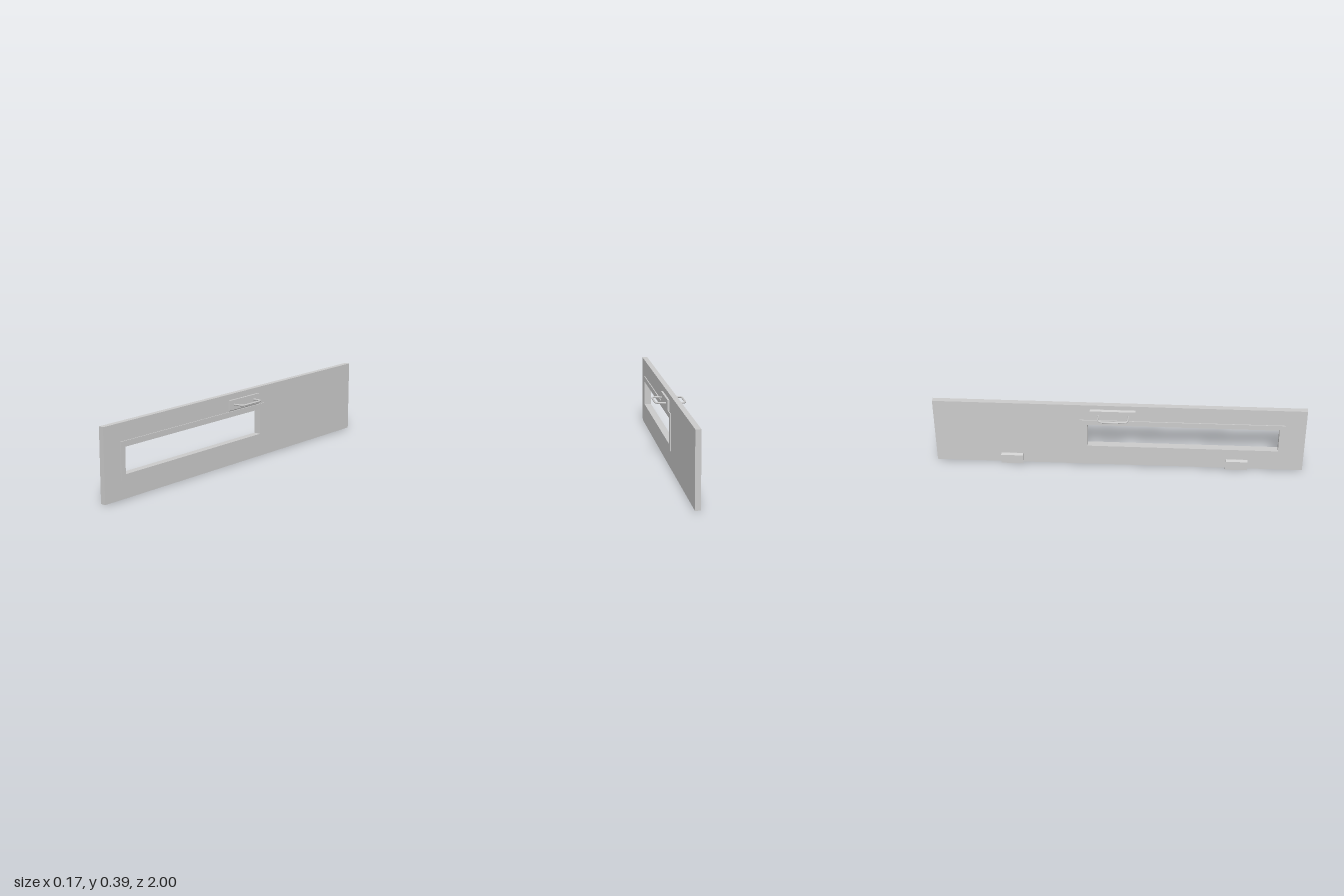
import * as THREE from 'three';

const material = new THREE.MeshStandardMaterial({ color: 0xcccccc });

const add = (parent, name, geometry) => {
  const mesh = new THREE.Mesh(geometry, material);
  mesh.name = name;
  parent.add(mesh);
  return mesh;
};

// Traces a rectangle given in z and y; shape x runs along -z
const rect = (path, z0, z1, y0, y1) => {
  path.moveTo(-z1, y0);
  path.lineTo(-z0, y0);
  path.lineTo(-z0, y1);
  path.lineTo(-z1, y1);
  path.closePath();
  return path;
};

// Rectangular slab with a rectangular hole, spanning x0 to x1
function piercedSlab(outer, hole, x0, x1) {
  const shape = rect(new THREE.Shape(), ...outer);
  shape.holes.push(rect(new THREE.Path(), ...hole));
  const geometry = new THREE.ExtrudeGeometry(shape, { depth: x1 - x0, bevelEnabled: false });
  return geometry.rotateY(Math.PI / 2).translate(x0, 0, 0);
}

// Cross-section in x and y, extruded along z
function prism(points, z0, z1) {
  const shape = new THREE.Shape(points.map(([x, y]) => new THREE.Vector2(x, y)));
  return new THREE.ExtrudeGeometry(shape, { depth: z1 - z0, bevelEnabled: false }).translate(0, 0, z0);
}

// U-shaped bar with rounded corners standing out from a plate
function handleBar(xIn, xOut, y, tilt, z0, z1) {
  const side = Math.sign(xOut), r = 0.028;
  const yOut = y + tilt;
  const p = (x, z, h = yOut) => new THREE.Vector3(x, h, z);
  const bend = xOut - side * r;
  const path = new THREE.CurvePath();
  path.add(new THREE.LineCurve3(p(xIn, z0, y), p(bend, z0)));
  path.add(new THREE.QuadraticBezierCurve3(p(bend, z0), p(xOut, z0), p(xOut, z0 + r)));
  path.add(new THREE.LineCurve3(p(xOut, z0 + r), p(xOut, z1 - r)));
  path.add(new THREE.QuadraticBezierCurve3(p(xOut, z1 - r), p(xOut, z1), p(bend, z1)));
  path.add(new THREE.LineCurve3(p(bend, z1), p(xIn, z1, y)));
  return new THREE.TubeGeometry(path, 72, 0.005, 12, false);
}

export function createModel() {
  const model = new THREE.Group();
  model.name = 'windowPanel';

  // Board and the raised frame lining its window
  add(model, 'board', piercedSlab([-1, 1, 0.003, 0.395], [-0.18, 0.87, 0.12, 0.28], -0.016, 0.013));
  add(model, 'windowFrame', piercedSlab([-0.21, 0.89, 0.098, 0.3], [-0.17, 0.86, 0.13, 0.27], -0.021, 0.018));

  // Handle plates with one chamfered edge each, and their bars
  const left = new THREE.Group();
  left.name = 'leftHandle';
  add(left, 'plate', prism([[0.012, 0.303], [0.016, 0.303], [0.024, 0.309], [0.024, 0.363], [0.012, 0.363]], -0.155, 0.088));
  add(left, 'bar', handleBar(0.02, 0.08, 0.336, 0.002, -0.11, 0.05));
  const right = new THREE.Group();
  right.name = 'rightHandle';
  add(right, 'plate', prism([[-0.015, 0.31], [-0.015, 0.37], [-0.017, 0.37], [-0.025, 0.363], [-0.025, 0.31]], -0.155, 0.088));
  add(right, 'bar', handleBar(-0.02, -0.083, 0.336, 0, -0.11, 0.05));
  model.add(left, right);

  // Two mounting blocks along the lower edge
  for (const [name, z] of [['frontBlock', 0.64], ['rearBlock', -0.585]]) {
    add(model, name, prism([[-0.015, 0.001], [-0.015, 0.062], [-0.018, 0.062], [-0.03, 0.055], [-0.03, 0.001]], z - 0.06, z + 0.06));
  }

  return model;
}
